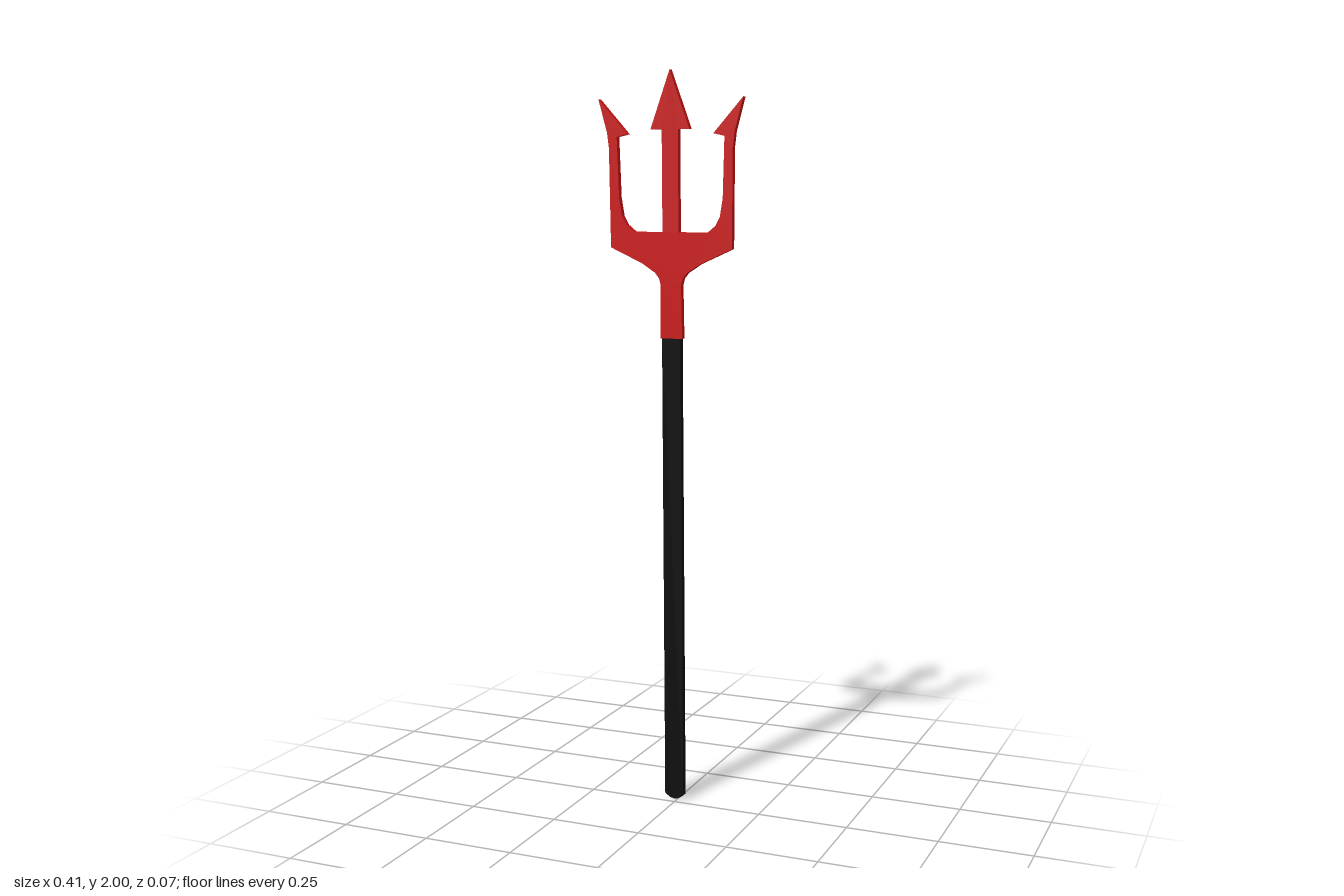
import * as THREE from 'three';

const THICKNESS = 0.017;

// Build a symmetrical flat plate from the right half of its outline
function plate(name, half, color) {
  const left = half.filter(([x]) => x > 0).reverse().map(([x, y]) => [-x, y]);
  const shape = new THREE.Shape([...half, ...left].map(([x, y]) => new THREE.Vector2(x, y)));
  const geometry = new THREE.ExtrudeGeometry(shape, { depth: THICKNESS, bevelEnabled: false });
  geometry.translate(0, 0, -THICKNESS / 2);
  const mesh = new THREE.Mesh(geometry, new THREE.MeshStandardMaterial({ color, flatShading: true }));
  mesh.name = name;
  return mesh;
}

export function createModel() {
  const model = new THREE.Group();
  model.name = 'trident';

  // Long handle with a shallow pointed foot
  model.add(plate('handle', [
    [0, 0], [0.012, 0.003], [0.0275, 0.013], [0.0265, 1.3],
  ], 0x0b0b0b));

  // Forked head: socket, curved shoulder, barbed side prong, central spear
  model.add(plate('forkHead', [
    [0.0315, 1.298], [0.0295, 1.44], [0.034, 1.458], [0.046, 1.473], [0.083, 1.497], [0.1735, 1.538],
    [0.176, 1.8], [0.181, 1.84], [0.205, 1.928],
    [0.122, 1.836], [0.153, 1.829], [0.148, 1.67], [0.14, 1.622], [0.127, 1.598], [0.105, 1.58],
    [0.023, 1.58], [0.023, 1.848], [0.055, 1.848], [0, 2],
  ], 0xcc1414));

  // Slight lean forward and to the side
  model.rotation.set(0.0285, 0, -0.005);
  model.position.set(-0.0095, 0, -0.03);

  const root = new THREE.Group();
  root.add(model);
  return root;
}
